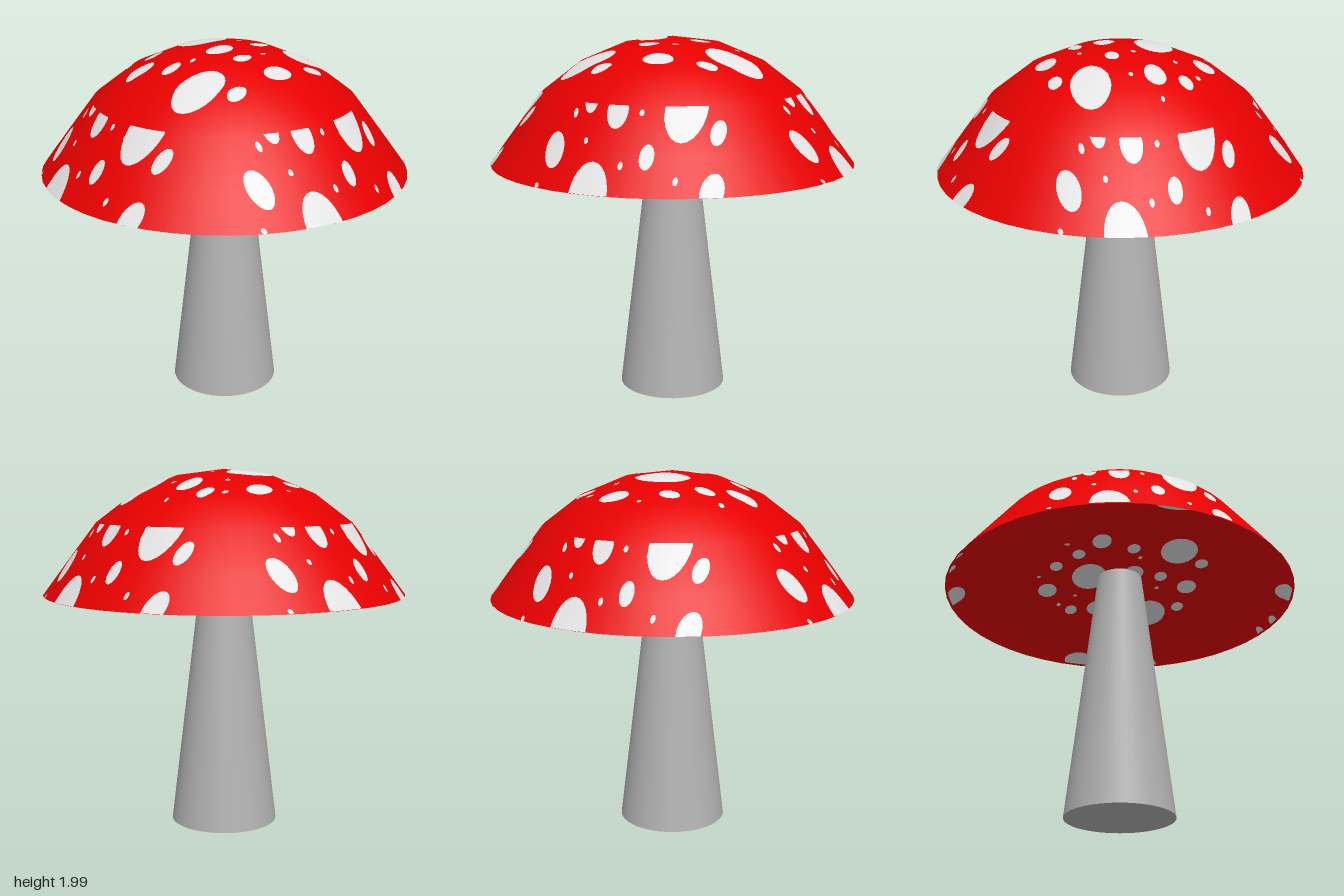
import * as THREE from 'three';
import { mergeGeometries } from 'three/addons/utils/BufferGeometryUtils.js';

const RIM_Y = 1.305, SHOULDER_Y = 1.695, APEX_Y = 1.985, HOLLOW = 0.13;

// Cap profile, rim to apex: a dome in 15 degree steps with a flared skirt
const PROFILE = [[1, RIM_Y], [0.866, 1.485], [0.707, SHOULDER_Y], [0.5, 1.852], [0.259, 1.952], [0, APEX_Y]];

// Underside profile, rim to centre: a strongly flattened dome
const UNDERSIDE = [90, 75, 60, 45, 30, 15, 0].map((deg) => {
  const a = THREE.MathUtils.degToRad(deg);
  return [Math.sin(a), RIM_Y + HOLLOW * Math.cos(a)];
});

// Spot pattern: centre u, v and radii, repeated from the top, four sides and below
const SPOTS = [
  [0.23, 0.38, 0.1, 0.15], [-0.18, -0.01, 0.1, 0.15], [0.28, -0.39, 0.1, 0.15],
  [-0.10, 0.365, 0.055, 0.08], [-0.41, 0.17, 0.055, 0.08], [0.40, 0.02, 0.055, 0.08],
  [0.07, -0.09, 0.055, 0.08], [-0.155, -0.435, 0.052, 0.083],
  [-0.25, 0.4, 0.036, 0.055], [0.08, 0.17, 0.036, 0.055], [0.39, 0.27, 0.036, 0.055],
  [0.23, -0.07, 0.036, 0.055], [-0.38, -0.12, 0.036, 0.055], [-0.265, -0.27, 0.036, 0.055],
  [0.03, -0.37, 0.036, 0.055], [0.43, -0.27, 0.036, 0.055],
  [-0.33, 0.34, 0.013, 0.022], [0.023, 0.36, 0.012, 0.015], [0.145, 0.335, 0.013, 0.016],
  [-0.04, 0.13, 0.012, 0.018], [0.23, 0.07, 0.012, 0.018], [-0.24, 0.225, 0.012, 0.014],
  [-0.47, 0.01, 0.012, 0.012], [0.08, -0.27, 0.012, 0.018], [-0.34, -0.38, 0.015, 0.015],
  [-0.10, 0.53, 0.01, 0.015],
];

// Spots at the lip of the underside: centre x, z and radii
const LIP_SPOTS = [[0.15, 0.95, 0.09, 0.06], [-0.19, 0.97, 0.04, 0.03], [-0.34, 0.93, 0.03, 0.03]];

// Height of a profile at a given radius
function heightAt(profile, r) {
  const i = Math.max(1, profile.findIndex(([pr]) => r >= pr));
  const [r0, y0] = profile[i - 1], [r1, y1] = profile[i];
  return y0 + (y1 - y0) * (r0 - r) / (r0 - r1);
}

// Point and outward normal on the dome, seen from above
function onTop(u, v) {
  const r = Math.hypot(u, v);
  return [new THREE.Vector3(u, heightAt(PROFILE, r), -v),
    new THREE.Vector3(u, Math.sqrt(1 - r * r), -v)];
}

// Point and outward normal on the skirt, seen from the front
function onSkirt(u, v) {
  const y = THREE.MathUtils.clamp(RIM_Y + v, RIM_Y, SHOULDER_Y);
  const r = 0.707 + 0.293 * (SHOULDER_Y - y) / (SHOULDER_Y - RIM_Y);
  const z = Math.sqrt(r * r - u * u);
  return [new THREE.Vector3(u, y, z), new THREE.Vector3(0.8 * u / r, 0.6, 0.8 * z / r)];
}

// Point and downward normal on the underside, kept within the rim
function onUnderside(x, z) {
  const fit = Math.min(1, 0.99 / Math.max(Math.hypot(x, z), 0.001));
  const px = x * fit, pz = z * fit, r = Math.hypot(px, pz);
  return [new THREE.Vector3(px, heightAt(UNDERSIDE, r), pz),
    new THREE.Vector3(-px * HOLLOW, -Math.sqrt(1 - r * r), -pz * HOLLOW)];
}

// A thin spot draped over a surface
function spotPlate([cu, cv, ru, rv], drape) {
  const geo = new THREE.RingGeometry(0, 1, 24, 4);
  const pos = geo.attributes.position, nor = geo.attributes.normal;
  for (let i = 0; i < pos.count; i++) {
    const [p, n] = drape(cu + ru * pos.getX(i), cv + rv * pos.getY(i));
    n.normalize();
    p.addScaledVector(n, 0.004);
    pos.setXYZ(i, p.x, p.y, p.z);
    nor.setXYZ(i, n.x, n.y, n.z);
  }
  return geo;
}

const lathe = (profile) => new THREE.LatheGeometry(profile.map(([x, y]) => new THREE.Vector2(x, y)), 48);

export function createModel() {
  const model = new THREE.Group();
  const flat = (name, color) => {
    const material = new THREE.MeshStandardMaterial({ color });
    material.name = name;
    return material;
  };
  const capRed = flat('capRed', 0xe60000);
  const spotWhite = flat('spotWhite', 0xe4e4e4);
  const stemGrey = flat('stemGrey', 0xb3b3b3);

  const add = (name, geometry, material) => {
    const mesh = new THREE.Mesh(geometry, material);
    mesh.name = name;
    model.add(mesh);
    return mesh;
  };

  // Tapered stem ending at the underside of the cap
  add('stem', new THREE.CylinderGeometry(0.127, 0.298, 1.43, 48), stemGrey).position.y = 0.715;

  // Domed cap closed by a shallow hollow underside
  add('cap', lathe(PROFILE), capRed);
  add('capUnderside', lathe([...UNDERSIDE].reverse()), capRed);

  // Spots on the dome and around the skirt
  const skirtSpots = SPOTS.filter(([, v, , rv]) => v + rv > 0.005 && v - rv < 0.38);
  const outer = SPOTS.map((s) => spotPlate(s, onTop));
  for (let side = 0; side < 4; side++) {
    for (const s of skirtSpots) outer.push(spotPlate(s, onSkirt).rotateY(side * Math.PI / 2));
  }
  add('capSpots', mergeGeometries(outer), spotWhite);

  // Spots on the underside, with more at the lip on all four sides
  const under = SPOTS.map(([u, v, ru, rv]) => spotPlate([u, -v, ru, rv], onUnderside));
  for (const [x, z, rx, rz] of LIP_SPOTS) {
    for (const s of [1, -1]) {
      under.push(spotPlate([s * x, s * z, rx, rz], onUnderside));
      under.push(spotPlate([s * z, s * x, rz, rx], onUnderside));
    }
  }
  add('undersideSpots', mergeGeometries(under), spotWhite);
  return model;
}
